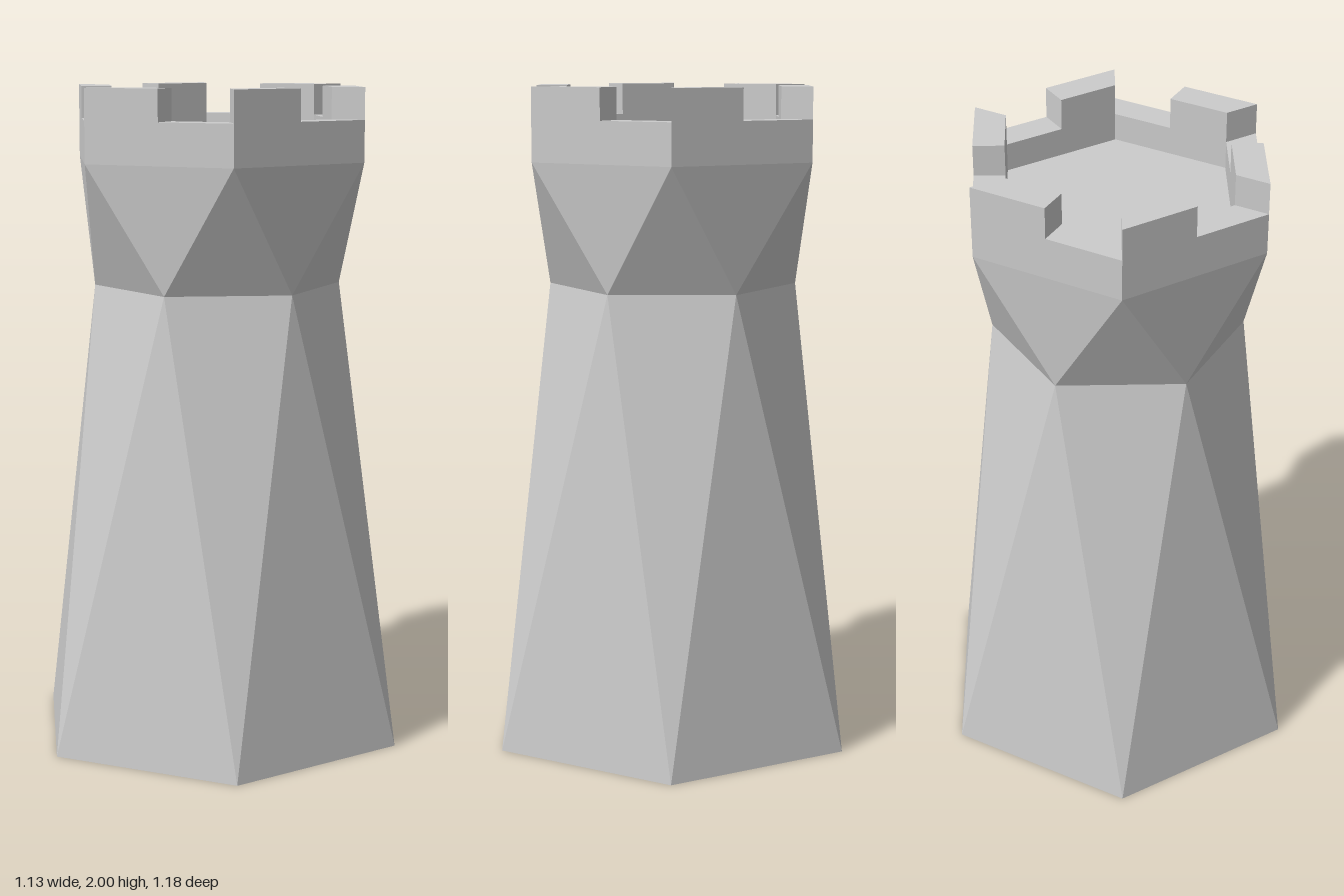
import * as THREE from 'three';

const SIDES = 6;
const TWIST = THREE.MathUtils.degToRad(40.2);
const BASE = { r: 0.598, y: 0 }, NECK = { r: 0.376, y: 1.4 }, FLARE = { r: 0.475, y: 1.78 };
const INNER_R = 0.37, FLOOR_Y = 1.82, WALL_Y = 1.905, TOP_Y = 2;

// Corner of a hexagon ring; half-integer k gives the corner turned by 30 degrees
function corner(r, k) {
  const a = TWIST - (k * 2 * Math.PI) / SIDES;
  return new THREE.Vector2(r * Math.cos(a), r * Math.sin(a)); // (x, z)
}

const hexagon = (r) => Array.from({ length: SIDES }, (_, k) => corner(r, k));

// Faceted band joining two rings that are turned half a side against each other
function antiprism(low, high, start) {
  const tris = [];
  const at = (ring, k) => {
    const p = corner(ring.r, k);
    return [p.x, ring.y, p.y];
  };
  for (let i = 0; i < SIDES; i++) {
    const k = start + i;
    tris.push(...at(low, k), ...at(low, k + 1), ...at(high, k + 0.5));
    tris.push(...at(low, k + 1), ...at(high, k + 1.5), ...at(high, k + 0.5));
  }
  const geo = new THREE.BufferGeometry();
  geo.setAttribute('position', new THREE.Float32BufferAttribute(tris, 3));
  geo.computeVertexNormals();
  return geo;
}

// Upright prism over a plan outline given in (x, z)
function prism(points, y0, y1, hole) {
  const flip = (list) => list.map((p) => new THREE.Vector2(p.x, -p.y));
  const shape = new THREE.Shape(flip(points));
  if (hole) shape.holes.push(new THREE.Path(flip(hole)));
  const geo = new THREE.ExtrudeGeometry(shape, { depth: y1 - y0, bevelEnabled: false });
  return geo.rotateX(-Math.PI / 2).translate(0, y0, 0);
}

export function createModel() {
  const group = new THREE.Group();
  const material = new THREE.MeshStandardMaterial({ color: 0xcccccc, flatShading: true });
  const add = (name, geo) => {
    const mesh = new THREE.Mesh(geo, material);
    mesh.name = name;
    group.add(mesh);
    return mesh;
  };

  // Tapering shaft and flared head
  add('shaft', antiprism(BASE, NECK, 0));
  add('flaredHead', antiprism(NECK, FLARE, 0.5));

  // Underside
  const underside = new THREE.ShapeGeometry(new THREE.Shape(hexagon(BASE.r)));
  add('underside', underside.rotateX(Math.PI / 2));

  // Parapet ring and the sunken roof floor inside it
  add('parapet', prism(hexagon(FLARE.r), FLARE.y, WALL_Y, hexagon(INNER_R)));
  add('roofFloor', prism(hexagon(INNER_R), FLARE.y, FLOOR_Y));

  // One merlon per side, from a corner to the middle of that side
  for (let k = 0; k < SIDES; k++) {
    const middle = (r) => corner(r, k).lerp(corner(r, k + 1), 0.5);
    const plan = [corner(FLARE.r, k), middle(FLARE.r), middle(INNER_R), corner(INNER_R, k)];
    add('merlon' + (k + 1), prism(plan, WALL_Y, TOP_Y));
  }
  return group;
}
